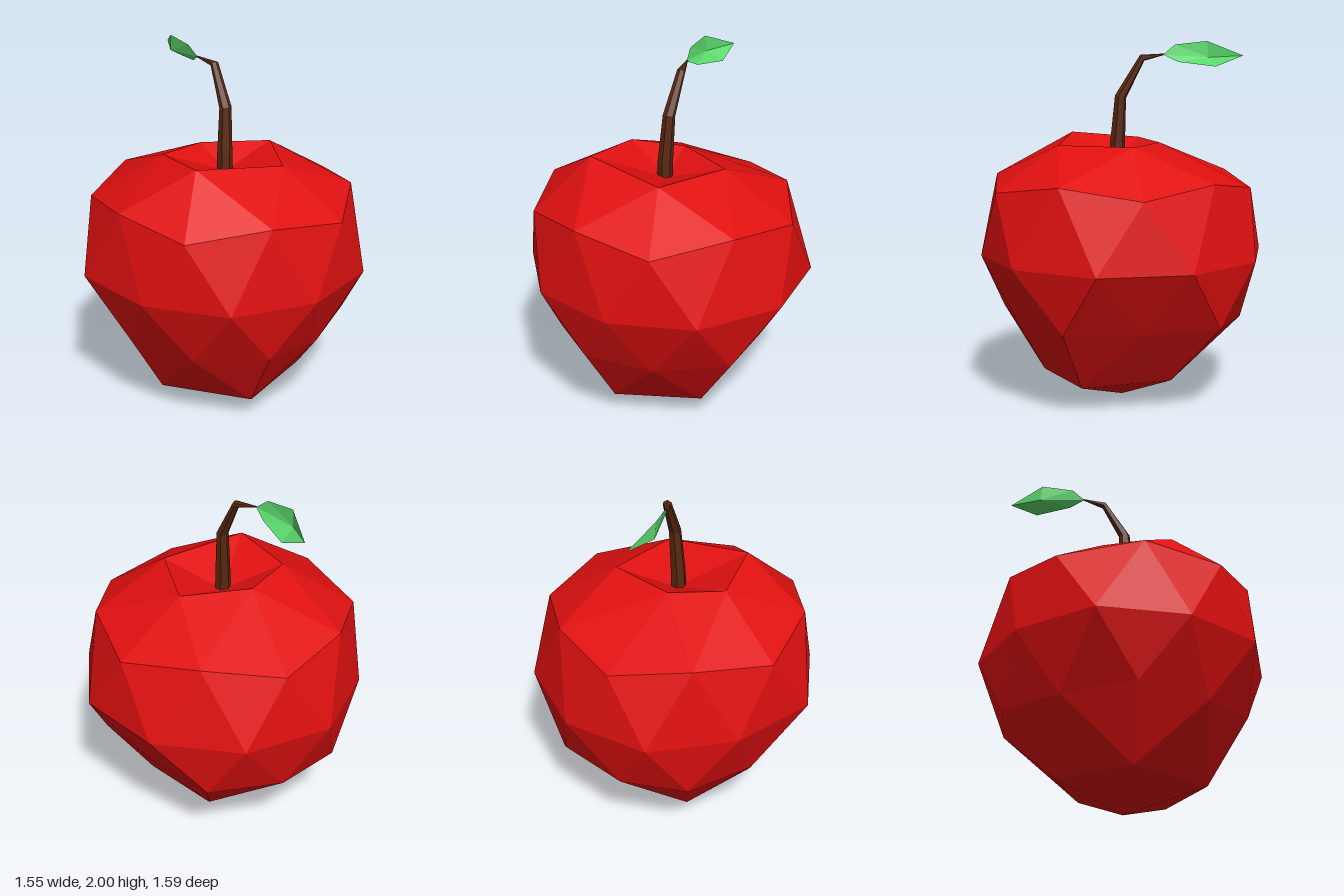
import * as THREE from 'three';

const red = new THREE.MeshStandardMaterial({ color: 0xe01010 });
red.name = 'apple red';
const brown = new THREE.MeshStandardMaterial({ color: 0x5a2810 });
brown.name = 'stem brown';
const green = new THREE.MeshStandardMaterial({ color: 0x5bd86c, side: THREE.DoubleSide });
green.name = 'leaf green';

// Builds a faceted mesh from a list of triangles, each three [x, y, z] points
function facetedMesh(name, triangles, material) {
  const geometry = new THREE.BufferGeometry();
  geometry.setAttribute('position', new THREE.Float32BufferAttribute(triangles.flat(2), 3));
  geometry.computeVertexNormals();
  const mesh = new THREE.Mesh(geometry, material);
  mesh.name = name;
  return mesh;
}

// Fruit: rings of points running from +x towards +z, from the dip down to the base
function createFruit() {
  const dip = [0, 1.34, 0.02];
  const rim = [[0.33, 1.44, 0], [0.11, 1.44, 0.37], [-0.36, 1.48, 0.23], [-0.3, 1.45, -0.15], [0, 1.44, -0.21]];
  const shoulder = [
    [0.73, 1.2, 0.02], [0.56, 1.26, 0.43], [0.22, 1.2, 0.72], [-0.22, 1.26, 0.68], [-0.6, 1.2, 0.45],
    [-0.71, 1.26, 0.03], [-0.6, 1.2, -0.42], [-0.22, 1.26, -0.65], [0.22, 1.2, -0.68], [0.55, 1.26, -0.39],
  ];
  const middle = [
    [0.77, 0.27], [0.46, 0.66], [0, 0.79], [-0.46, 0.65], [-0.74, 0.26],
    [-0.78, -0.23], [-0.46, -0.61], [0, -0.8], [0.47, -0.64], [0.77, -0.23],
  ].map(([x, z]) => [x, 0.83, z]);
  const lower = [
    [0.55, 0.49, 0.41], [0.18, 0.47, 0.6], [-0.2, 0.5, 0.65], [-0.5, 0.47, 0.38], [-0.65, 0.5, 0],
    [-0.5, 0.47, -0.38], [-0.2, 0.48, -0.66], [0.18, 0.47, -0.64], [0.55, 0.49, -0.43], [0.57, 0.48, 0],
  ];
  const foot = [[0.33, 0.14, 0.28], [-0.14, 0.13, 0.43], [-0.44, 0.13, 0], [-0.14, 0.14, -0.37], [0.33, 0.16, -0.21]];
  const base = [0, 0, 0];

  const triangles = [];
  // Cap: a pole, a ring of five and a ring of ten
  const cap = (pole, five, ten, flip) => {
    const add = (a, b, c) => triangles.push(flip ? [a, c, b] : [a, b, c]);
    for (let k = 0; k < 5; k++) {
      const next = five[(k + 1) % 5];
      add(pole, next, five[k]);
      add(five[k], next, ten[2 * k + 1]);
      add(five[k], ten[2 * k + 1], ten[2 * k]);
      add(five[k], ten[2 * k], ten[(2 * k + 9) % 10]);
    }
  };
  // Band: two staggered rings of ten
  const band = (upper, under) => {
    for (let k = 0; k < 10; k++) {
      const n = (k + 1) % 10;
      triangles.push([upper[k], upper[n], under[k]], [under[k], upper[n], under[n]]);
    }
  };
  cap(dip, rim, shoulder, false);
  band(shoulder, middle);
  band(middle, lower);
  cap(base, foot, lower, true);
  return facetedMesh('fruit', triangles, red);
}

// Stem: six-sided sections along a bent path, tapering to a tip
function createStem() {
  const sides = 6;
  // centre x, y, z, half width, half depth, backward tilt
  const sections = [
    [-0.012, 1.3, 0.026, 0.045, 0.045, 0],
    [-0.01, 1.44, 0.024, 0.042, 0.042, 0.05],
    [0.005, 1.695, 0.01, 0.034, 0.032, 0.25],
    [0.022, 1.908, -0.108, 0.024, 0.02, 0.95],
    [0, 1.927, -0.235, 0.005, 0.004, 1.5],
  ].map(([x, y, z, w, d, tilt]) =>
    Array.from({ length: sides }, (_, i) => {
      const a = ((i + 0.5) / sides) * Math.PI * 2;
      const v = Math.sin(a) * d;
      return [x + Math.cos(a) * w, y + v * Math.sin(tilt), z + v * Math.cos(tilt)];
    }));
  const triangles = [];
  for (let s = 0; s < sections.length - 1; s++) {
    const [low, high] = [sections[s], sections[s + 1]];
    for (let i = 0; i < sides; i++) {
      const n = (i + 1) % sides;
      triangles.push([low[i], high[i], high[n]], [low[i], high[n], low[n]]);
    }
  }
  return facetedMesh('stem', triangles, brown);
}

// Leaf: a folded sheet fanned around the middle of its rib
function createLeaf() {
  const rib = [0.005, 1.91, -0.49];
  const outline = [
    [0, 1.925, -0.23], [-0.01, 1.98, -0.3], [0, 2, -0.48],
    [0.105, 1.92, -0.66], [0.1, 1.86, -0.505], [0.03, 1.885, -0.31],
  ];
  const triangles = outline.map((p, i) => [rib, p, outline[(i + 1) % outline.length]]);
  return facetedMesh('leaf', triangles, green);
}

export function createModel() {
  const group = new THREE.Group();
  group.name = 'apple';
  group.add(createFruit(), createStem(), createLeaf());
  return group;
}
